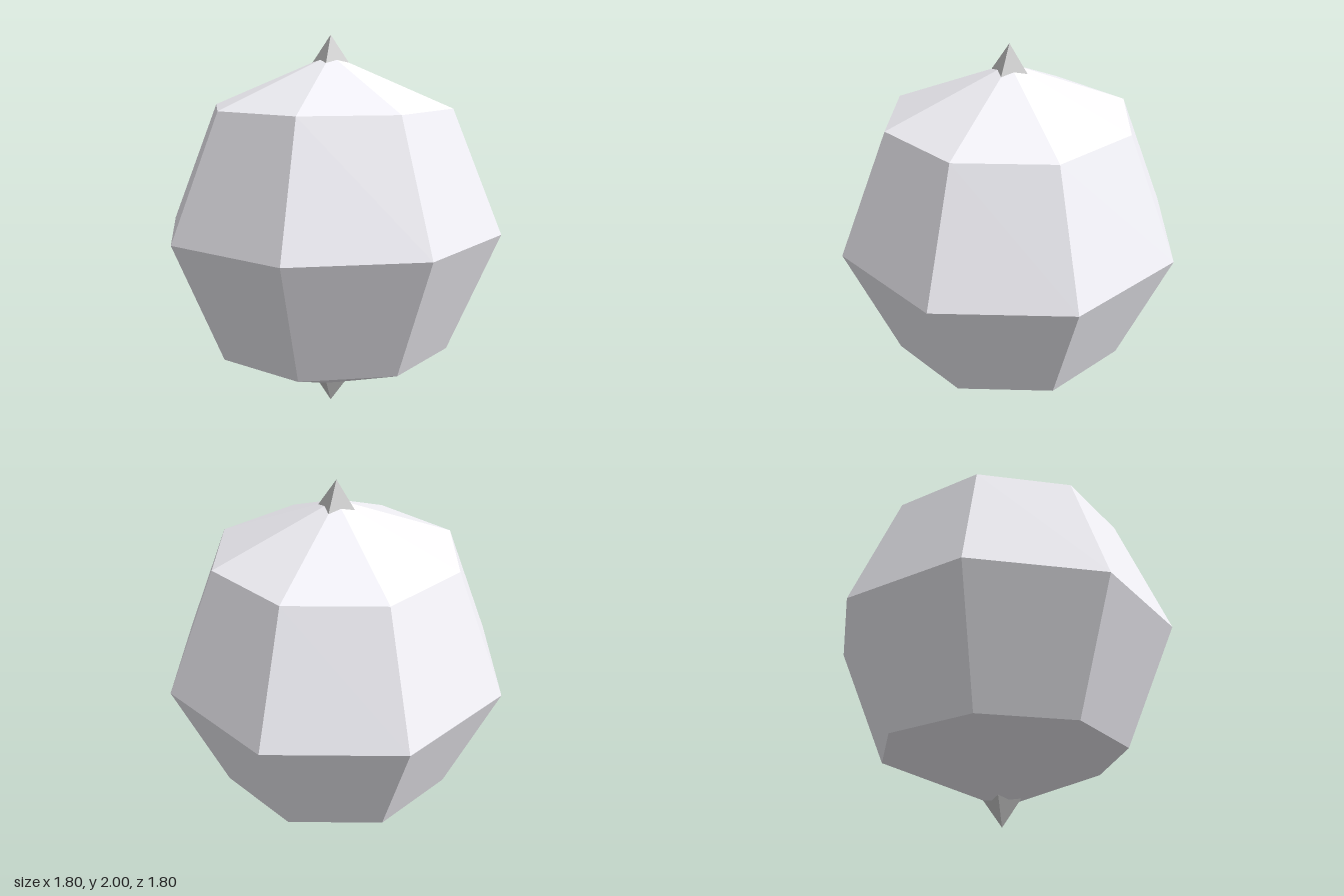
import * as THREE from 'three';

export function createModel() {
  const group = new THREE.Group();

  const add = (name, geometry, color) => {
    const material = new THREE.MeshStandardMaterial({ color, flatShading: true });
    const mesh = new THREE.Mesh(geometry, material);
    mesh.name = name;
    mesh.position.y = 1;
    group.add(mesh);
    return mesh;
  };

  // Faceted pale shell: eight sides, four bands
  add('shell', new THREE.SphereGeometry(0.9, 8, 4), 0xf5f4fa);

  // Tall four-sided crystal whose tips pierce both poles of the shell
  add('innerCrystal', new THREE.OctahedronGeometry(1), 0xe6e6e6).scale.set(0.69, 1, 0.69);

  return group;
}
